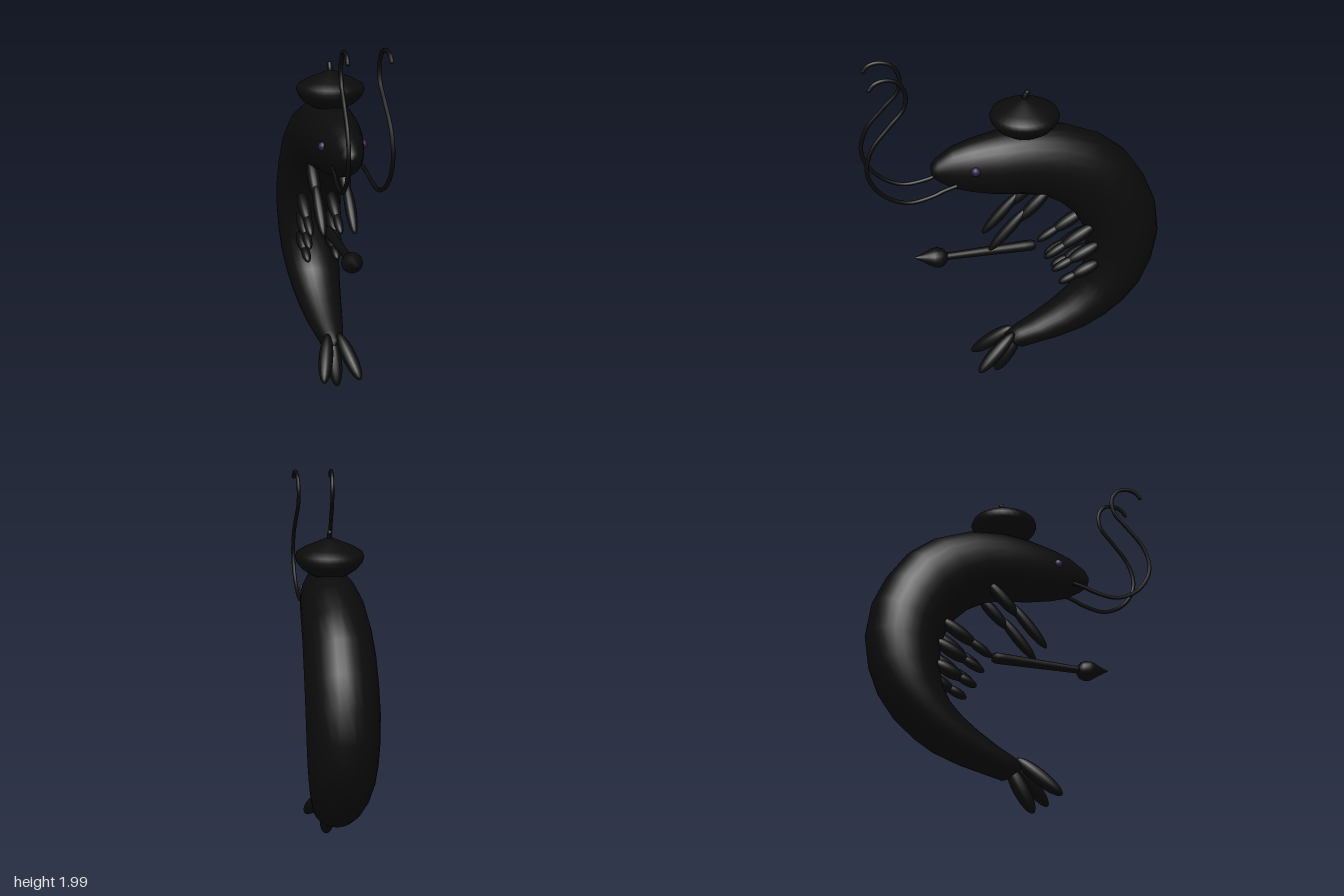
import * as THREE from 'three';

const shell = new THREE.MeshStandardMaterial({ color: 0x0b0b0b });
shell.name = 'shell black';
const eyeMat = new THREE.MeshStandardMaterial({ color: 0x32224c });
eyeMat.name = 'eye violet';

const V = (x, y, z) => new THREE.Vector3(x, y, z);

function add(parent, name, geometry, material = shell) {
  const mesh = new THREE.Mesh(geometry, material);
  mesh.name = name;
  parent.add(mesh);
  return mesh;
}

// Ellipsoid stretched between two points
function lobe(parent, name, a, b, radius) {
  const mesh = add(parent, name, new THREE.SphereGeometry(1, 16, 12));
  mesh.scale.set(radius, a.distanceTo(b) / 2, radius);
  mesh.position.copy(a).add(b).multiplyScalar(0.5);
  mesh.quaternion.setFromUnitVectors(V(0, 1, 0), b.clone().sub(a).normalize());
  return mesh;
}

// Body sections: back z, back y, belly z, belly y, half width
const SECTIONS = [
  [0.452, 1.395, 0.452, 1.395, 0],
  [0.447, 1.425, 0.445, 1.36, 0.035],
  [0.42, 1.46, 0.415, 1.33, 0.058],
  [0.34, 1.512, 0.34, 1.28, 0.085],
  [0.24, 1.545, 0.24, 1.247, 0.112],
  [0.085, 1.576, 0.11, 1.22, 0.142],
  [-0.08, 1.59, -0.03, 1.205, 0.158],
  [-0.276, 1.565, -0.14, 1.178, 0.17],
  [-0.467, 1.485, -0.24, 1.12, 0.178],
  [-0.605, 1.374, -0.32, 1.04, 0.184],
  [-0.71, 1.22, -0.375, 0.945, 0.187],
  [-0.78, 1.06, -0.402, 0.87, 0.188],
  [-0.806, 0.88, -0.408, 0.79, 0.186],
  [-0.78, 0.71, -0.405, 0.7, 0.18],
  [-0.727, 0.573, -0.388, 0.61, 0.17],
  [-0.637, 0.446, -0.345, 0.535, 0.155],
  [-0.525, 0.345, -0.276, 0.467, 0.138],
  [-0.424, 0.281, -0.19, 0.403, 0.122],
  [-0.286, 0.228, -0.08, 0.335, 0.1],
  [-0.143, 0.19, 0.0, 0.295, 0.078],
  [-0.05, 0.165, 0.06, 0.255, 0.058],
  [0.025, 0.19, 0.025, 0.19, 0],
];

function bodyGeometry() {
  const sides = 28, pos = [], index = [];
  SECTIONS.forEach(([oz, oy, iz, iy, w], i) => {
    for (let j = 0; j < sides; j++) {
      const a = (j / sides) * Math.PI * 2, c = Math.cos(a) / 2;
      pos.push(w * Math.sin(a), (oy + iy) / 2 + (oy - iy) * c, (oz + iz) / 2 + (oz - iz) * c);
      if (i === SECTIONS.length - 1) continue;
      const p = i * sides + j, q = i * sides + ((j + 1) % sides);
      index.push(p, q, p + sides, q, q + sides, p + sides);
    }
  });
  const g = new THREE.BufferGeometry();
  g.setAttribute('position', new THREE.Float32BufferAttribute(pos, 3));
  g.setIndex(index);
  g.computeVertexNormals();
  return g;
}

function lathe(points, segments = 32) {
  return new THREE.LatheGeometry(points.map(([r, y]) => new THREE.Vector2(r, y)), segments);
}

export function createModel() {
  const model = new THREE.Group();
  model.name = 'shrimp';
  add(model, 'body', bodyGeometry());

  // Beret with stalk
  const beret = new THREE.Group();
  beret.name = 'beret';
  beret.position.z = -0.048;
  model.add(beret);
  add(beret, 'beretCap', lathe([[0, 1.56], [0.1, 1.565], [0.145, 1.595], [0.173, 1.63], [0.182, 1.657],
    [0.173, 1.68], [0.13, 1.706], [0.07, 1.732], [0.025, 1.752], [0, 1.755]]));
  const stalk = new THREE.CatmullRomCurve3([V(0, 1.735, 0), V(0, 1.765, -0.002), V(0, 1.788, -0.014)]);
  add(beret, 'beretStalk', new THREE.TubeGeometry(stalk, 8, 0.013, 10));
  const knob = add(beret, 'stalkEnd', new THREE.SphereGeometry(0.014, 10, 8));
  knob.position.set(0, 1.786, -0.014);

  // Paintbrush lying along z
  const brush = new THREE.Group();
  brush.name = 'paintbrush';
  brush.position.set(0, 0.845, 0);
  brush.rotation.x = Math.PI / 2;
  model.add(brush);
  add(brush, 'brushHandle', lathe([[0, -0.113], [0.024, -0.108], [0.03, -0.09], [0.03, -0.05],
    [0.02, 0.37], [0.026, 0.39], [0, 0.4]], 20));
  const bristles = lathe([[0, 0.375], [0.025, 0.382], [0.046, 0.4], [0.056, 0.43], [0.053, 0.455],
    [0.04, 0.482], [0.022, 0.515], [0.009, 0.545], [0, 0.563]], 20);
  // Bend the bristle tip upward
  const p = bristles.attributes.position;
  for (let i = 0; i < p.count; i++) {
    const t = Math.max(0, (p.getY(i) - 0.44) / 0.12);
    p.setZ(i, p.getZ(i) - 0.018 * t);
  }
  bristles.computeVertexNormals();
  add(brush, 'brushBristles', bristles);

  // Middle tail fin
  lobe(model, 'middleTailFin', V(0, 0.26, -0.025), V(0, 0.005, 0.118), 0.043);

  // Mirrored parts
  for (const [s, side] of [[1, 'left'], [-1, 'right']]) {
    const eye = add(model, side + 'Eye', new THREE.SphereGeometry(0.025, 16, 12), eyeMat);
    eye.position.set(s * 0.106, 1.418, 0.235);

    lobe(model, side + 'TailFin', V(s * 0.03, 0.28, 0.015), V(s * 0.102, 0.086, 0.237), 0.04);

    // Antenna path in z, y
    const path = [[0.33, 1.33], [0.4, 1.312], [0.46, 1.29], [0.59, 1.274], [0.705, 1.33], [0.775, 1.422],
      [0.793, 1.51], [0.757, 1.623], [0.668, 1.73], [0.59, 1.82], [0.578, 1.9], [0.615, 1.967],
      [0.68, 1.987], [0.73, 1.973], [0.755, 1.945]]
      .map(([z, y]) => V(s * (0.08 + (z - 0.33) * 0.062), y, z));
    const curve = new THREE.CatmullRomCurve3(path);
    add(model, side + 'Antenna', new THREE.TubeGeometry(curve, 90, 0.011, 8));
    add(model, side + 'AntennaTip', new THREE.SphereGeometry(0.011, 8, 6)).position.copy(path.at(-1));

    // Front arm
    const x = s * 0.085;
    lobe(model, side + 'UpperArm', V(x, 1.25, -0.17), V(x, 1.07, 0.005), 0.034);
    lobe(model, side + 'Forearm', V(x, 1.14, -0.04), V(x, 0.905, 0.167), 0.031);

    // Three swimming legs: root z, y and tip z, y
    [[-0.43, 0.985, -0.142, 0.806], [-0.46, 0.86, -0.185, 0.715], [-0.46, 0.735, -0.226, 0.626]]
      .forEach(([rz, ry, tz, ty], i) => {
        const root = V(x, ry, rz), tip = V(x, ty, tz);
        lobe(model, side + 'UpperLeg' + (i + 1), root, root.clone().lerp(tip, 0.7), 0.036);
        lobe(model, side + 'LowerLeg' + (i + 1), root.clone().lerp(tip, 0.5), tip, 0.026);
      });
  }
  return model;
}
